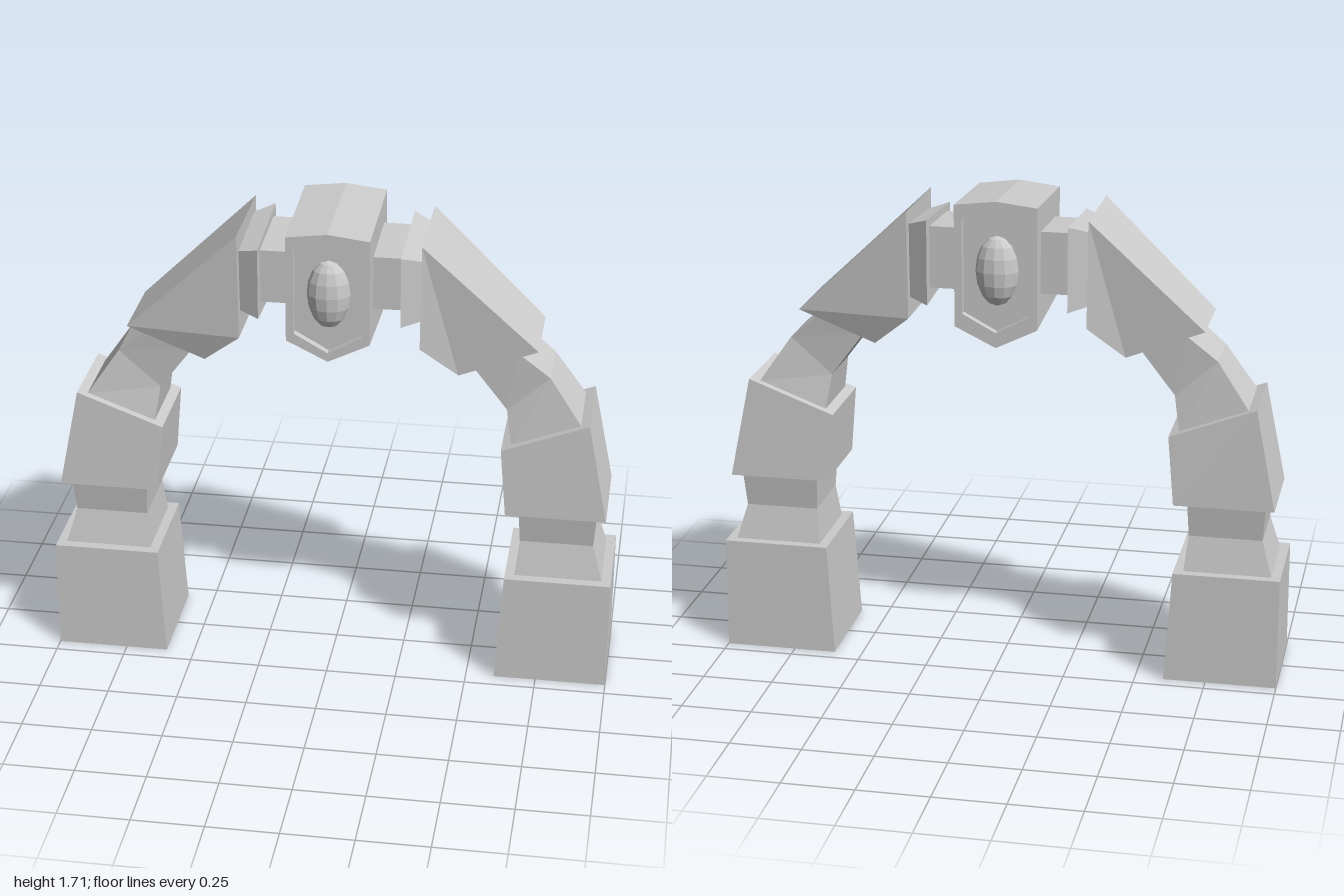
import * as THREE from 'three';

const grey = new THREE.MeshStandardMaterial({ color: 0xcccccc, flatShading: true });

// Skins a row of matching convex rings and caps both ends, flat shaded.
// Rings run counter-clockwise as seen from the last ring's end.
function loft(name, rings) {
  const pos = [];
  const tri = (a, b, c) => pos.push(...a, ...b, ...c);
  const n = rings[0].length;
  for (let r = 0; r < rings.length - 1; r++) {
    for (let i = 0; i < n; i++) {
      const j = (i + 1) % n, a = rings[r], b = rings[r + 1];
      tri(a[i], a[j], b[j]);
      tri(a[i], b[j], b[i]);
    }
  }
  const first = rings[0], last = rings[rings.length - 1];
  for (let i = 1; i < n - 1; i++) {
    tri(first[0], first[i + 1], first[i]);
    tri(last[0], last[i], last[i + 1]);
  }
  const geo = new THREE.BufferGeometry();
  geo.setAttribute('position', new THREE.Float32BufferAttribute(pos, 3));
  geo.computeVertexNormals();
  const mesh = new THREE.Mesh(geo, grey);
  mesh.name = name;
  return mesh;
}

// Four-cornered cross-section of the arch; flare makes the back taller than the front.
function section(side, [ox, oy, ix, iy, front, back, flare = 0]) {
  const ring = [
    [side * ix, iy - flare, back],
    [side * ix, iy + flare, front],
    [side * ox, oy - flare, front],
    [side * ox, oy + flare, back],
  ];
  return side > 0 ? ring : ring.reverse();
}

// Each stone: sections of outer x, y, inner x, y, front z, back z, flare
const STONES = {
  foot: [
    [1.0, 0, 0.6, 0, 0.195, -0.2],
    [1.0, 0.4, 0.625, 0.4, 0.185, -0.193],
  ],
  lowerNeck: [
    [0.968, 0.395, 0.658, 0.395, 0.15, -0.16],
    [0.93, 0.525, 0.672, 0.525, 0.122, -0.135],
    [0.94, 0.655, 0.665, 0.655, 0.14, -0.15],
  ],
  middleStone: [
    [0.972, 0.65, 0.62, 0.65, 0.172, -0.181],
    [0.9, 1.01, 0.597, 0.895, 0.158, -0.167],
  ],
  upperNeck: [
    [0.87, 0.995, 0.63, 0.905, 0.13, -0.138],
    [0.756, 1.16, 0.61, 1.03, 0.106, -0.116],
    [0.645, 1.25, 0.49, 1.19, 0.118, -0.128],
  ],
  shoulderStone: [
    [0.714, 1.273, 0.442, 1.166, 0.143, -0.152],
    [0.315, 1.65, 0.312, 1.273, 0.183, -0.193],
  ],
  collar: [
    [0.32, 1.59, 0.32, 1.355, 0.145, -0.155, 0.01],
    [0.245, 1.613, 0.245, 1.336, 0.18, -0.192, 0.012],
  ],
  tieBar: [
    [0.25, 1.587, 0.25, 1.383, 0.127, -0.147, 0.007],
    [0.14, 1.587, 0.14, 1.383, 0.127, -0.147, 0.007],
  ],
};

// Six-sided keystone outline, counter-clockwise from the front
const outline = (w, shoulder, peak, hip, tip, z) => [
  [w, shoulder, z], [0, peak, z], [-w, shoulder, z],
  [-w, hip, z], [0, tip, z], [w, hip, z],
];

export function createModel() {
  const group = new THREE.Group();
  group.name = 'stoneArch';

  for (const [label, side] of [['left', 1], ['right', -1]]) {
    const half = new THREE.Group();
    half.name = label + 'Arch';
    for (const [name, rows] of Object.entries(STONES)) {
      half.add(loft(name, rows.map((row) => section(side, row))));
    }
    group.add(half);
  }

  // Keystone with a sunken panel on both faces
  group.add(loft('keystone', [
    outline(0.117, 1.645, 1.668, 1.308, 1.245, -0.185),
    outline(0.117, 1.645, 1.668, 1.308, 1.245, -0.212),
    outline(0.144, 1.69, 1.707, 1.262, 1.192, -0.212),
    outline(0.144, 1.668, 1.686, 1.289, 1.218, 0.21),
    outline(0.117, 1.638, 1.662, 1.316, 1.25, 0.21),
    outline(0.117, 1.638, 1.662, 1.316, 1.25, 0.183),
  ]));

  // Faceted oval gem on each face
  for (const [name, z] of [['frontGem', 0.185], ['backGem', -0.187]]) {
    const gem = new THREE.Mesh(new THREE.SphereGeometry(1, 12, 8), grey);
    gem.name = name;
    gem.scale.set(0.075, 0.123, 0.052);
    gem.position.set(0, 1.46, z);
    group.add(gem);
  }
  return group;
}
